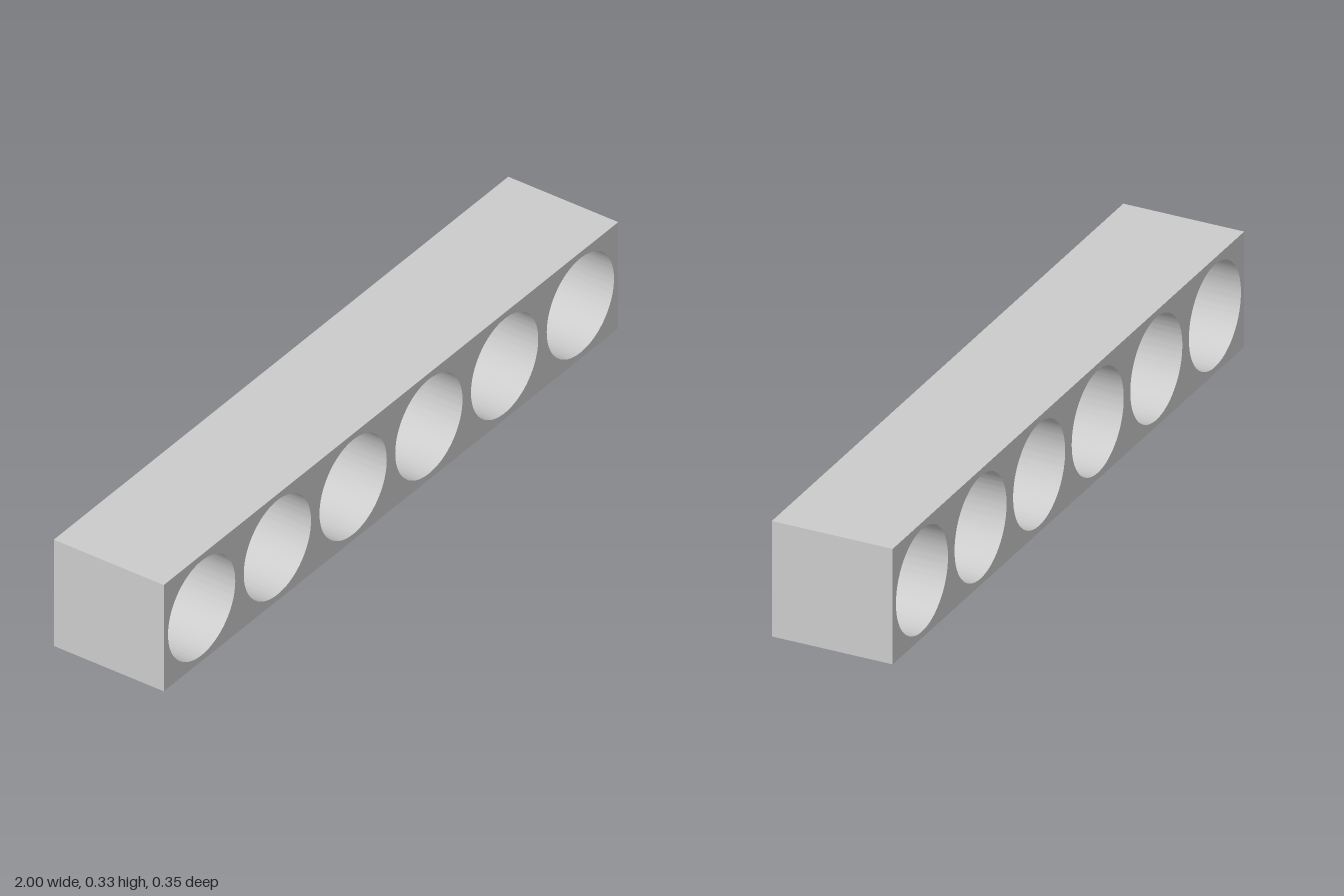
import * as THREE from 'three';
import { toCreasedNormals } from 'three/addons/utils/BufferGeometryUtils.js';

const HOLES = 6;
const LENGTH = 2;
const PITCH = LENGTH / HOLES;
const HEIGHT = PITCH;
const DEPTH = 0.348;
const RADIUS = 0.148;

export function createModel() {
  const model = new THREE.Group();
  model.name = 'holderRack';

  // Rectangular front face of the block
  const face = new THREE.Shape();
  face.moveTo(-LENGTH / 2, 0);
  face.lineTo(LENGTH / 2, 0);
  face.lineTo(LENGTH / 2, HEIGHT);
  face.lineTo(-LENGTH / 2, HEIGHT);
  face.closePath();

  // Row of evenly spaced round through-holes
  for (let i = 0; i < HOLES; i++) {
    const hole = new THREE.Path();
    hole.absarc(-LENGTH / 2 + (i + 0.5) * PITCH, HEIGHT / 2, RADIUS, 0, Math.PI * 2, true);
    face.holes.push(hole);
  }

  // Smooth bores with sharp rims and block edges
  const solid = new THREE.ExtrudeGeometry(face, { depth: DEPTH, bevelEnabled: false, curveSegments: 64 });
  solid.translate(0, 0, -DEPTH / 2);
  const block = new THREE.Mesh(
    toCreasedNormals(solid, Math.PI / 6),
    new THREE.MeshStandardMaterial({ color: 0xcccccc })
  );
  block.name = 'blockWithRoundHoles';
  model.add(block);

  return model;
}
